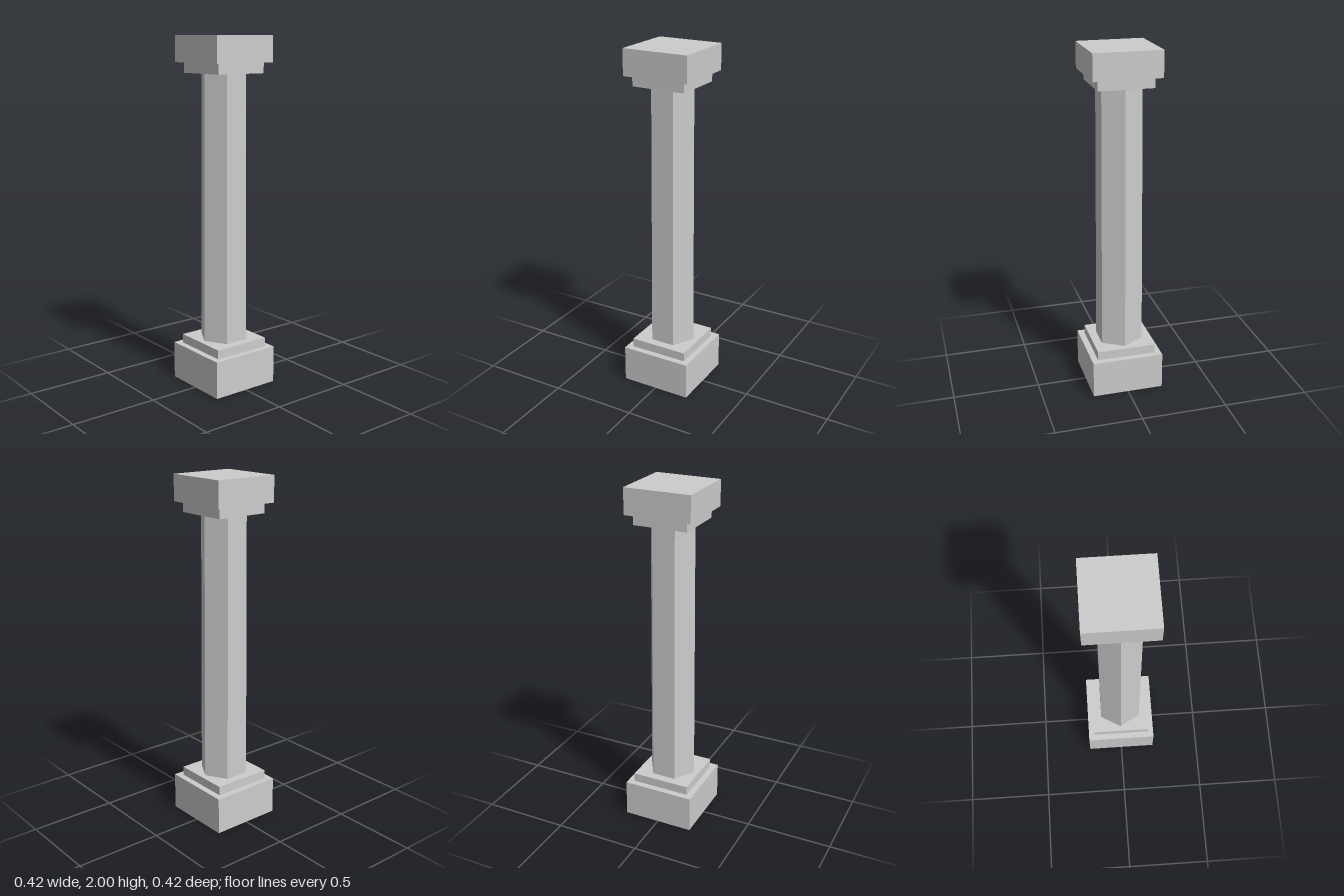
import * as THREE from 'three';

export function createModel() {
  const column = new THREE.Group();
  column.name = 'column';
  const stone = new THREE.MeshStandardMaterial({ color: 0xcccccc });
  stone.name = 'grey stone';

  function add(name, geometry, bottom, top) {
    const mesh = new THREE.Mesh(geometry, stone);
    mesh.name = name;
    mesh.position.y = (bottom + top) / 2;
    column.add(mesh);
  }

  // Square slabs: name, width, bottom, top
  const slabs = [
    ['basePlinth', 0.417, 0, 0.216],
    ['baseStep', 0.344, 0.216, 0.268],
    ['capitalStep', 0.313, 1.795, 1.853],
    ['capitalBlock', 0.383, 1.853, 2],
  ];
  for (const [name, width, bottom, top] of slabs) {
    add(name, new THREE.BoxGeometry(width, top - bottom, width), bottom, top);
  }

  // Tapered six-sided shaft with a flat face to the front and corners on the x axis
  const shaft = new THREE.CylinderGeometry(0.132, 0.141, 1.795 - 0.268, 6, 1, false, Math.PI / 6)
    .toNonIndexed();
  shaft.computeVertexNormals();
  add('shaft', shaft, 0.268, 1.795);

  return column;
}
